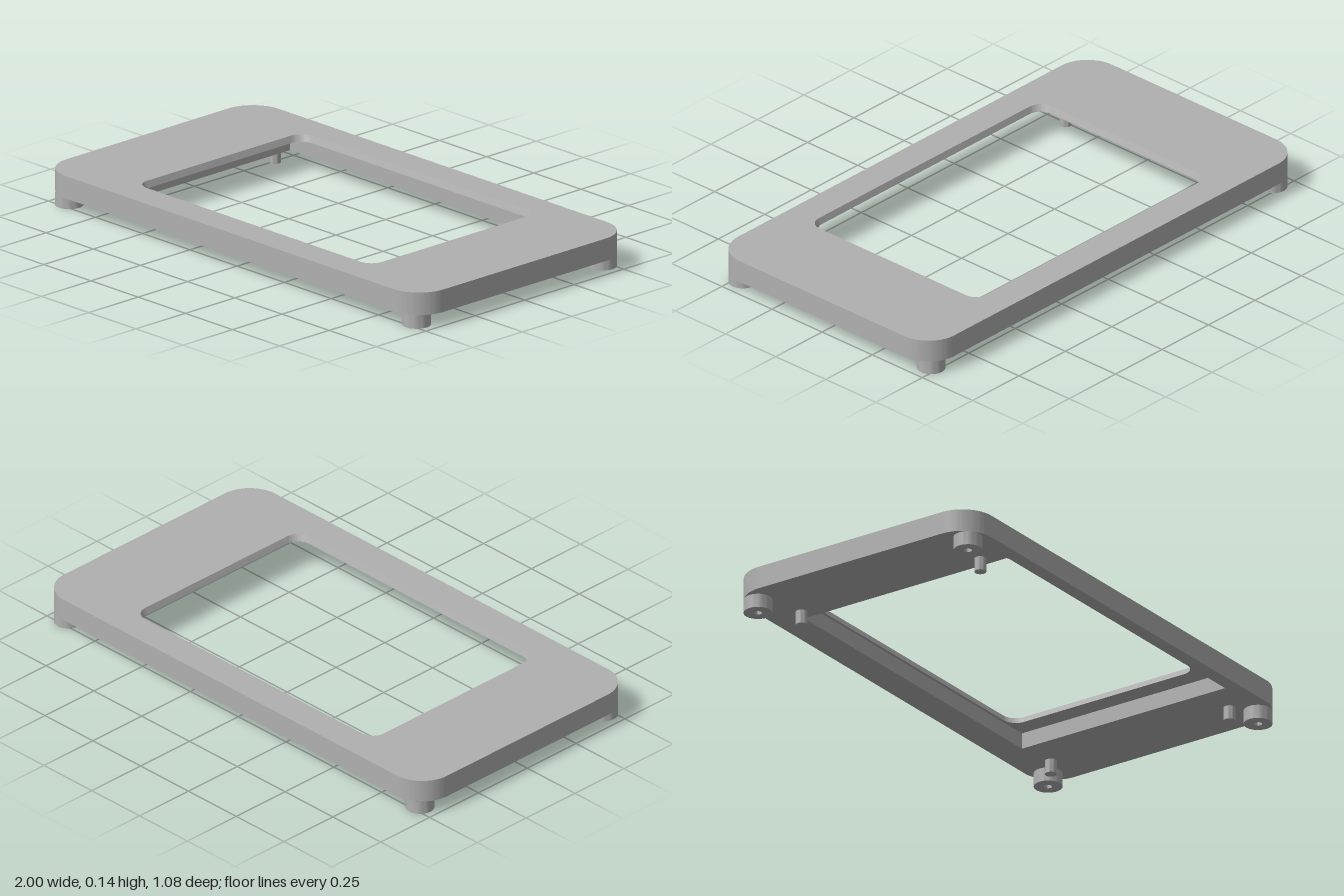
import * as THREE from 'three';
import { toCreasedNormals } from 'three/addons/utils/BufferGeometryUtils.js';

const BASE = 0.053, LEDGE = 0.115, TOP = 0.14;

// Rectangle outline with rounded corners, given in x and z
function outline(path, x0, x1, z0, z1, r) {
  const a = -z1, b = -z0; // shape y becomes -z once laid flat
  if (r === 0) {
    path.moveTo(x0, a).lineTo(x1, a).lineTo(x1, b).lineTo(x0, b).closePath();
    return path;
  }
  path.moveTo(x0 + r, a);
  path.lineTo(x1 - r, a).absarc(x1 - r, a + r, r, -Math.PI / 2, 0);
  path.lineTo(x1, b - r).absarc(x1 - r, b - r, r, 0, Math.PI / 2);
  path.lineTo(x0 + r, b).absarc(x0 + r, b - r, r, Math.PI / 2, Math.PI);
  path.lineTo(x0, a + r).absarc(x0 + r, a + r, r, Math.PI, Math.PI * 1.5);
  return path;
}

// Rounded frame layer with one opening, lying between two heights
function frameLayer(hole, y0, y1) {
  const shape = outline(new THREE.Shape(), -1, 1, -0.54, 0.54, 0.13);
  shape.holes.push(outline(new THREE.Path(), ...hole));
  const geo = new THREE.ExtrudeGeometry(shape, { depth: y1 - y0, bevelEnabled: false, curveSegments: 14 });
  return geo.rotateX(-Math.PI / 2).translate(0, y0, 0);
}

export function createModel() {
  const group = new THREE.Group();
  const grey = new THREE.MeshStandardMaterial({ color: 0xb0b0b0 });
  grey.name = 'plain grey';
  const add = (name, geo, x = 0, y = 0, z = 0) => {
    const mesh = new THREE.Mesh(toCreasedNormals(geo, 0.6), grey);
    mesh.name = name;
    mesh.position.set(x, y, z);
    group.add(mesh);
  };

  // Lower layer with the square-cornered pocket
  add('pocketFrame', frameLayer([-0.69, 0.69, -0.425, 0.485, 0], BASE, LEDGE));

  // Top layer; the window narrows slightly towards its lower edge
  const top = frameLayer([-0.623, 0.623, -0.422, 0.417, 0.055], LEDGE, TOP);
  const pos = top.attributes.position;
  for (let i = 0; i < pos.count; i++) {
    const x = pos.getX(i), z = pos.getZ(i);
    if (pos.getY(i) < LEDGE + 0.001 && Math.abs(x) < 0.65 && Math.abs(z) < 0.45) {
      pos.setX(i, x * 0.985);
      pos.setZ(i, z * 0.98);
    }
  }
  add('windowFrame', top);

  // Corner feet with blind screw holes, and locating pins beside them
  const footProfile = [[0, 0.045], [0.015, 0.045], [0.015, 0], [0.053, 0], [0.053, BASE]]
    .map(([r, y]) => new THREE.Vector2(r, y));
  for (const sx of [-1, 1]) {
    for (const sz of [-1, 1]) {
      add('foot', new THREE.LatheGeometry(footProfile, 32), sx * 0.92, 0, sz * 0.47);
      add('pin', new THREE.CylinderGeometry(0.022, 0.022, BASE, 24),
        sx > 0 ? 0.838 : -0.742, BASE / 2, sz * 0.4);
    }
  }
  return group;
}
